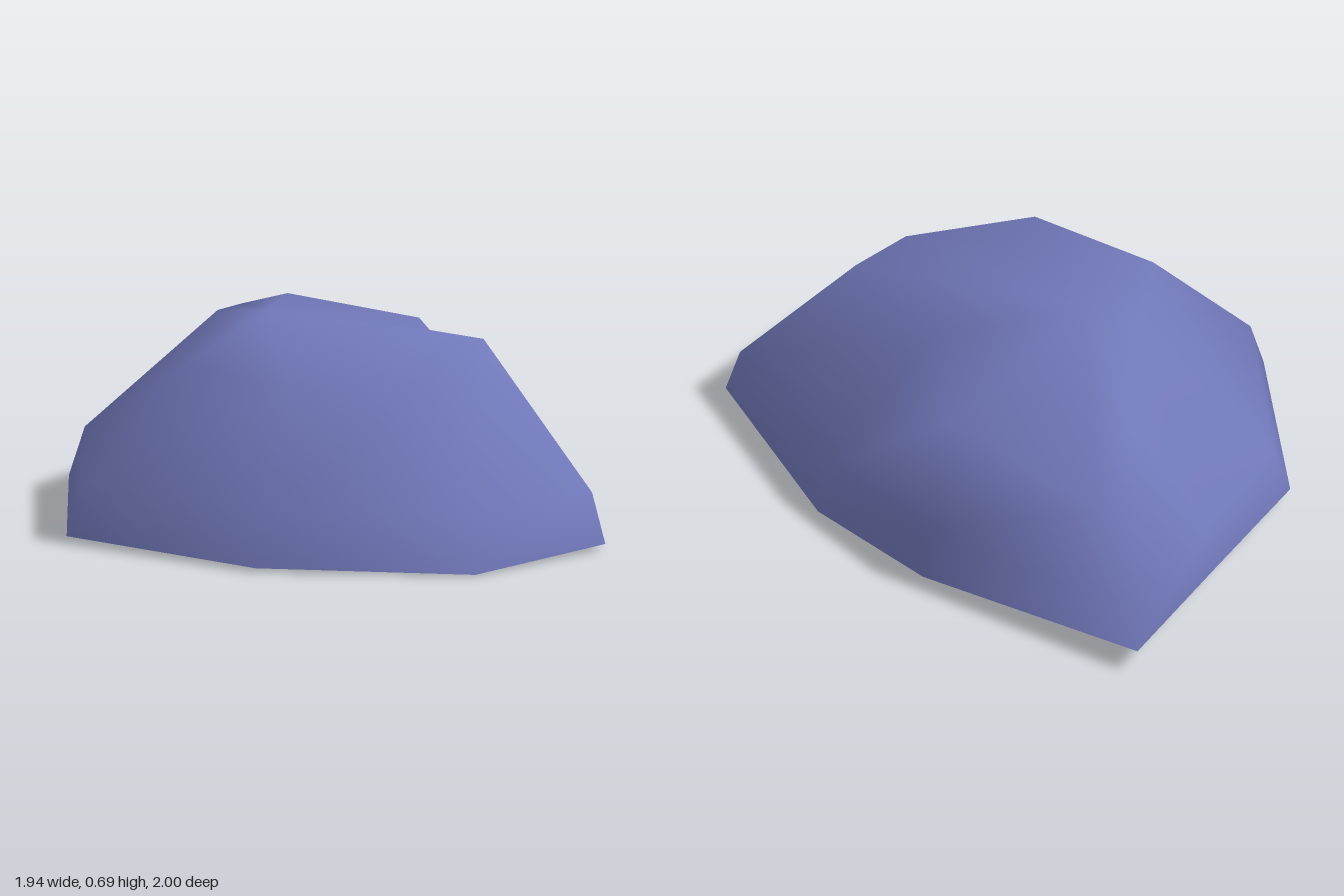
import * as THREE from 'three';

// Each column of the rock: rim, shoulder and crown points, clockwise from above
const columns = [
  [[-0.55, 0.085, -1.0], [-0.54, 0.22, -0.97], [-0.4, 0.525, -0.81]],
  [[0.21, 0.045, -0.6], [0.2, 0.22, -0.57], [0.14, 0.56, -0.42]],
  [[0.6, 0, -0.21], [0.57, 0.19, -0.2], [0.22, 0.62, -0.03]],
  [[0.97, 0.02, 0.42], [0.92, 0.19, 0.4], [0.52, 0.67, 0.28]],
  [[0.63, 0.005, 0.89], [0.6, 0.19, 0.85], [0.38, 0.57, 0.59]],
  [[-0.1, 0.015, 1.0], [-0.09, 0.19, 0.95], [-0.04, 0.57, 0.74]],
  [[-0.81, 0.025, 0.73], [-0.77, 0.2, 0.69], [-0.46, 0.58, 0.51]],
  [[-0.97, 0.055, -0.01], [-0.92, 0.22, -0.03], [-0.45, 0.66, 0.03]],
  [[-0.765, 0.07, -0.49], [-0.74, 0.23, -0.48], [-0.46, 0.585, -0.39]],
];
const peak = [-0.26, 0.685, 0.1];

function rockGeometry() {
  const n = columns.length, rings = 3;
  const points = [...columns.flat(), peak];
  const index = [];
  for (let i = 0; i < n; i++) {
    const cur = i * rings, next = ((i + 1) % n) * rings;
    // Side walls between neighbouring columns
    for (let r = 0; r < rings - 1; r++) {
      index.push(next + r, cur + r, cur + r + 1, next + r, cur + r + 1, next + r + 1);
    }
    // Top fan up to the peak
    index.push(next + rings - 1, cur + rings - 1, n * rings);
  }
  const geometry = new THREE.BufferGeometry();
  geometry.setAttribute('position', new THREE.Float32BufferAttribute(points.flat(), 3));
  geometry.setIndex(index);
  geometry.computeVertexNormals();
  return geometry;
}

export function createModel() {
  const group = new THREE.Group();
  group.name = 'rock';

  // Open-bottomed shell, so both sides show
  const stone = new THREE.MeshStandardMaterial({ color: 0x7077b8, side: THREE.DoubleSide });
  stone.name = 'blue violet stone';

  const shell = new THREE.Mesh(rockGeometry(), stone);
  shell.name = 'rockShell';
  group.add(shell);
  return group;
}
